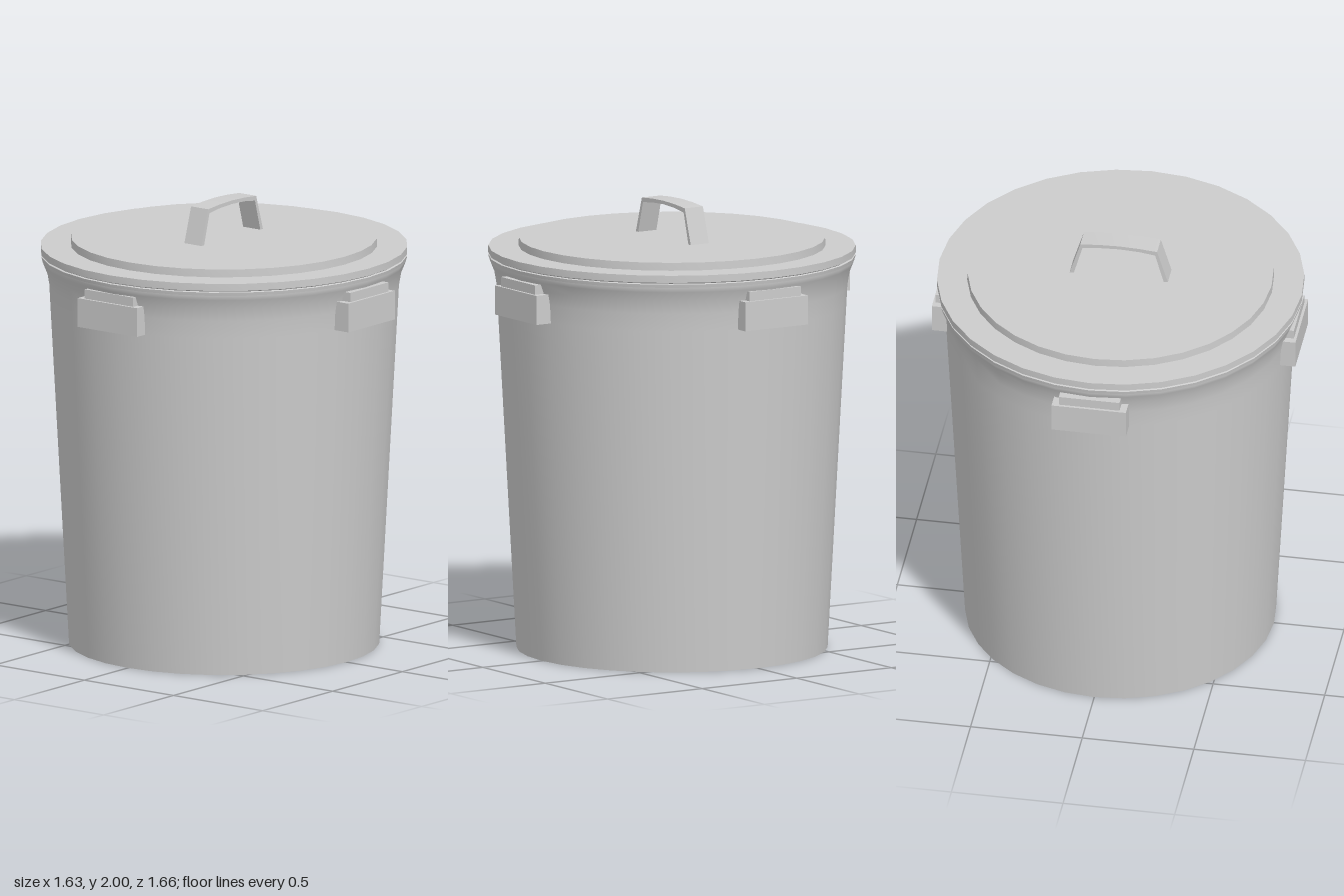
import * as THREE from 'three';
import { toCreasedNormals } from 'three/addons/utils/BufferGeometryUtils.js';

const SIDES = 32;

export function createModel() {
  const group = new THREE.Group();
  const grey = new THREE.MeshStandardMaterial({ color: 0xcccccc });
  grey.name = 'grey metal';

  const add = (name, geometry, parent = group) => {
    const mesh = new THREE.Mesh(geometry, grey);
    mesh.name = name;
    parent.add(mesh);
    return mesh;
  };

  // Turned part from [radius, height] points, bottom to top; a vertex lies on each axis
  const turned = (points) => toCreasedNormals(
    new THREE.LatheGeometry(points.map(([r, y]) => new THREE.Vector2(r, y)), SIDES), 0.5);

  // Tapered body with a closed base and a flared mouth
  add('body', turned([
    [0, 0], [0.687, 0], [0.77, 1.54], [0.774, 1.62], [0.784, 1.68],
    [0.8, 1.72], [0.806, 1.735], [0.806, 1.75], [0, 1.75],
  ]));

  // Lid with a stepped rim and a raised centre disc
  add('lid', turned([
    [0, 1.742], [0.808, 1.742], [0.811, 1.757], [0.802, 1.76],
    [0.811, 1.765], [0.811, 1.797], [0, 1.797],
  ]));
  add('lidDisc', turned([[0.678, 1.79], [0.676, 1.832], [0, 1.832]]));

  // Bent strap handle on the lid
  const outer = [[-0.222, 1.825], [-0.172, 1.99], [-0.09, 1.997], [0, 2],
    [0.09, 1.997], [0.172, 1.99], [0.222, 1.825]];
  const inner = [[0.203, 1.825], [0.163, 1.97], [0.09, 1.98], [0, 1.984],
    [-0.09, 1.98], [-0.163, 1.97], [-0.203, 1.825]];
  const strap = new THREE.Shape([...outer, ...inner].map(([x, y]) => new THREE.Vector2(x, y)));
  const handle = new THREE.ExtrudeGeometry(strap, { depth: 0.096, bevelEnabled: false });
  handle.translate(0, 0, -0.05);
  add('lidHandle', toCreasedNormals(handle, 0.4));

  // Four grips around the body: a broad block with a narrower ledge above it
  const reach = [0.827, 0.814, 0.832, 0.814]; // front, left, back, right
  reach.forEach((r, i) => {
    const grip = new THREE.Group();
    grip.name = 'grip' + ['Front', 'Left', 'Back', 'Right'][i];
    grip.rotation.y = i * Math.PI / 2;
    const shift = i % 2 ? 0.017 : 0;
    const block = new THREE.BoxGeometry(0.333, 0.13, 0.1);
    block.translate(shift, 1.605, r - 0.05);
    add('gripBlock', block, grip);
    const ledge = new THREE.BoxGeometry(0.272, 0.045, 0.09);
    ledge.translate(shift, 1.689, r - 0.057);
    add('gripLedge', ledge, grip);
    // Side grips both sit slightly towards the back
    if (i === 3) grip.children.forEach((m) => { m.position.x = -2 * shift; });
    group.add(grip);
  });

  return group;
}
